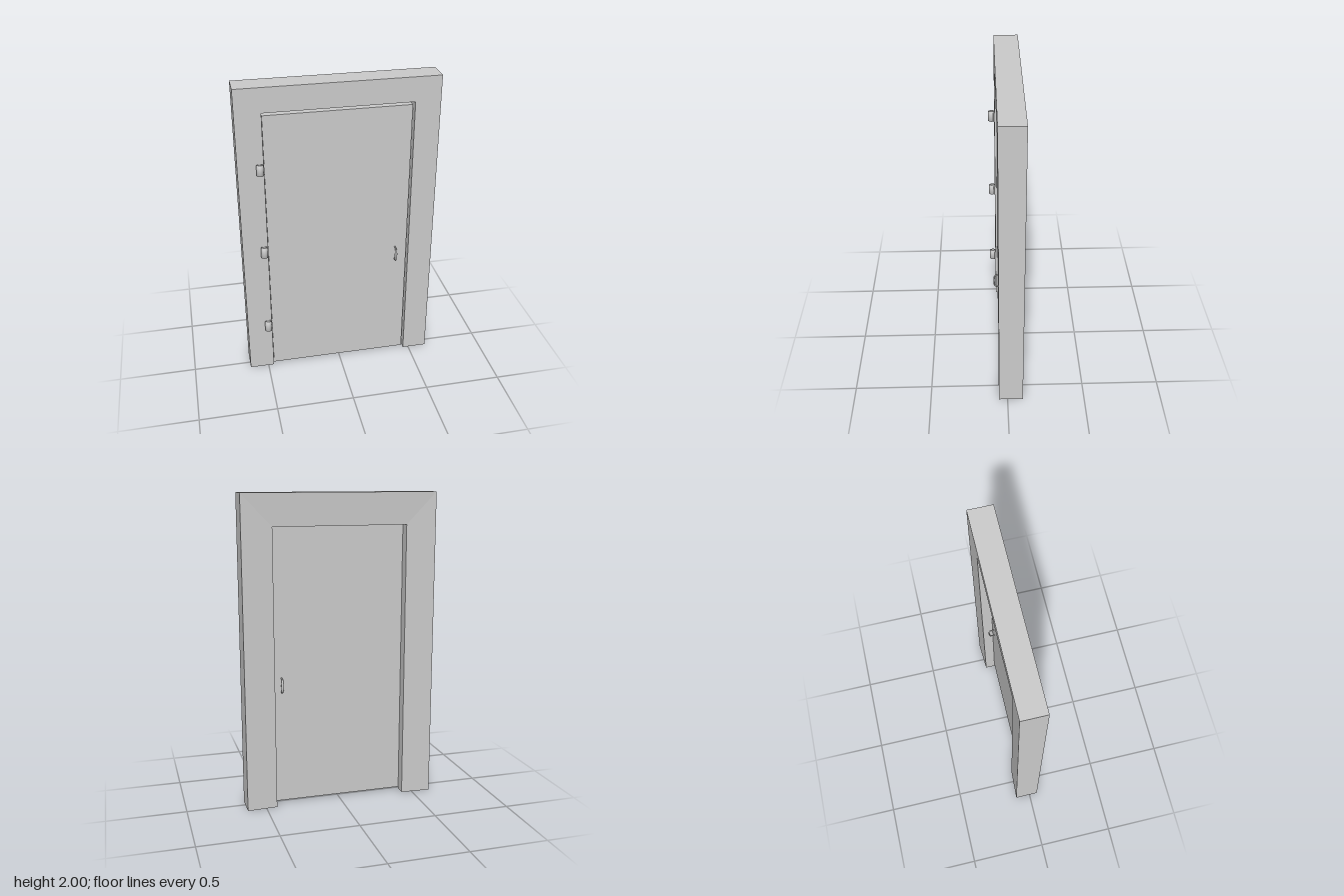
import * as THREE from 'three';

const material = new THREE.MeshStandardMaterial({ color: 0xcccccc });
const openMaterial = new THREE.MeshStandardMaterial({ color: 0xcccccc, side: THREE.DoubleSide });

function add(parent, name, geometry, x = 0, y = 0, z = 0) {
  const mesh = new THREE.Mesh(geometry, material);
  mesh.name = name;
  mesh.position.set(x, y, z);
  parent.add(mesh);
  return mesh;
}

// Rebated frame: an L-shaped section carried up, across and down with mitred
// corners; the back slopes gently inward and the hollow legs are open at the floor
function frameGeometry() {
  // [half width, height, z] of each edge line of the section
  const section = [
    [0.623, 2, 0.055], [0.623, 2, -0.1], [0.43, 1.797, -0.09],
    [0.43, 1.797, -0.023], [0.463, 1.845, -0.023], [0.463, 1.845, 0.055],
  ];
  const stations = [[-1, 0], [-1, 1], [1, 1], [1, 0]].map(([sx, sy]) =>
    section.map(([w, h, z]) => [sx * w, sy * h, z]));
  const positions = [];
  for (let s = 0; s < 3; s++) {
    const from = stations[s], to = stations[s + 1];
    for (let i = 0; i < section.length; i++) {
      const j = (i + 1) % section.length;
      positions.push(...from[i], ...to[i], ...to[j], ...from[i], ...to[j], ...from[j]);
    }
  }
  const geometry = new THREE.BufferGeometry();
  geometry.setAttribute('position', new THREE.Float32BufferAttribute(positions, 3));
  geometry.computeVertexNormals();
  return geometry;
}

// Bow handle: a bent tube, widened toward the middle of the grip
function handleGeometry() {
  const path = new THREE.CatmullRomCurve3([
    [-0.046, -0.004], [-0.045, 0.018], [-0.039, 0.029], [-0.02, 0.034], [0, 0.035],
    [0.02, 0.034], [0.039, 0.029], [0.045, 0.018], [0.046, -0.004],
  ].map(([y, z]) => new THREE.Vector3(0, y, z)));
  const geometry = new THREE.TubeGeometry(path, 48, 0.0045, 12);
  const p = geometry.attributes.position;
  for (let i = 0; i < p.count; i++) {
    const t = Math.min(1, Math.abs(p.getY(i)) / 0.05);
    p.setX(i, p.getX(i) * (0.8 + 1.2 * (1 - t * t)));
  }
  geometry.computeVertexNormals();
  return geometry;
}

export function createModel() {
  const model = new THREE.Group();
  model.name = 'doorway';

  add(model, 'frame', frameGeometry()).material = openMaterial;

  // Door leaf, set back a little from the frame's front and resting against the rebate
  add(model, 'doorLeaf', new THREE.BoxGeometry(0.911, 1.812, 0.065), -0.0045, 0.919, 0.0105);

  // Handles on both faces
  const handle = handleGeometry();
  add(model, 'frontHandle', handle, 0.375, 0.796, 0.043);
  add(model, 'backHandle', handle, 0.375, 0.796, -0.022).rotation.y = Math.PI;

  // Barrel hinges with softly shaded ends, each with a short leaf reaching the door edge
  const barrel = new THREE.LatheGeometry(
    [[0, -0.032], [0.022, -0.032], [0.022, 0.032], [0, 0.032]]
      .map(([r, y]) => new THREE.Vector2(r, y)), 32);
  for (const y of [0.348, 0.921, 1.493]) {
    const hinge = new THREE.Group();
    hinge.name = 'hinge';
    hinge.position.set(-0.489, y, 0.075);
    add(hinge, 'hingeBarrel', barrel);
    add(hinge, 'hingeLeaf', new THREE.BoxGeometry(0.03, 0.062, 0.012), 0.012, 0, -0.014)
      .rotation.y = Math.PI / 6;
    model.add(hinge);
  }
  return model;
}
